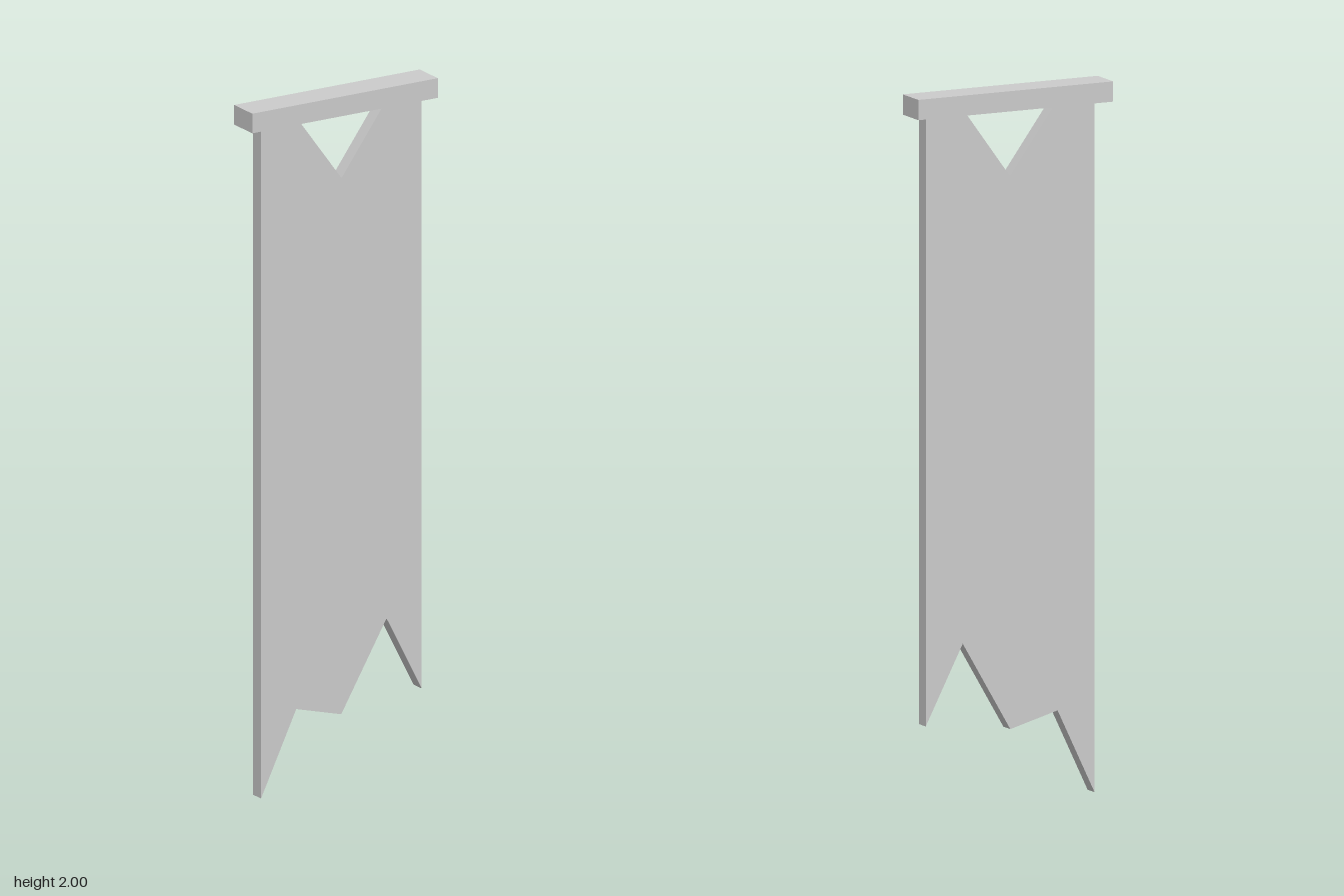
import * as THREE from 'three';

export function createModel() {
  const model = new THREE.Group();
  model.name = 'hangingBanner';
  const material = new THREE.MeshStandardMaterial({ color: 0xcccccc, flatShading: true });

  // Horizontal bar the cloth hangs from
  const barHeight = 0.057;
  const bar = new THREE.Mesh(new THREE.BoxGeometry(0.606, barHeight, 0.094), material);
  bar.name = 'topBar';
  bar.position.y = 2 - barHeight / 2;
  model.add(bar);

  // Cloth outline: torn lower edge, then the V notch under the bar
  const top = 2 - barHeight;
  const outline = [
    [-0.26, 0], [-0.145, 0.24], [0.002, 0.2], [0.15, 0.453], [0.265, 0.23],
    [0.265, top], [0.14, top], [0.003, 1.755], [-0.135, top], [-0.26, top],
  ].map(([x, y]) => new THREE.Vector2(x, y));
  const clothGeometry = new THREE.ExtrudeGeometry(new THREE.Shape(outline), {
    depth: 0.042,
    bevelEnabled: false,
  });
  const cloth = new THREE.Mesh(clothGeometry, material);
  cloth.name = 'tornCloth';
  cloth.position.z = -0.018;
  model.add(cloth);

  return model;
}
